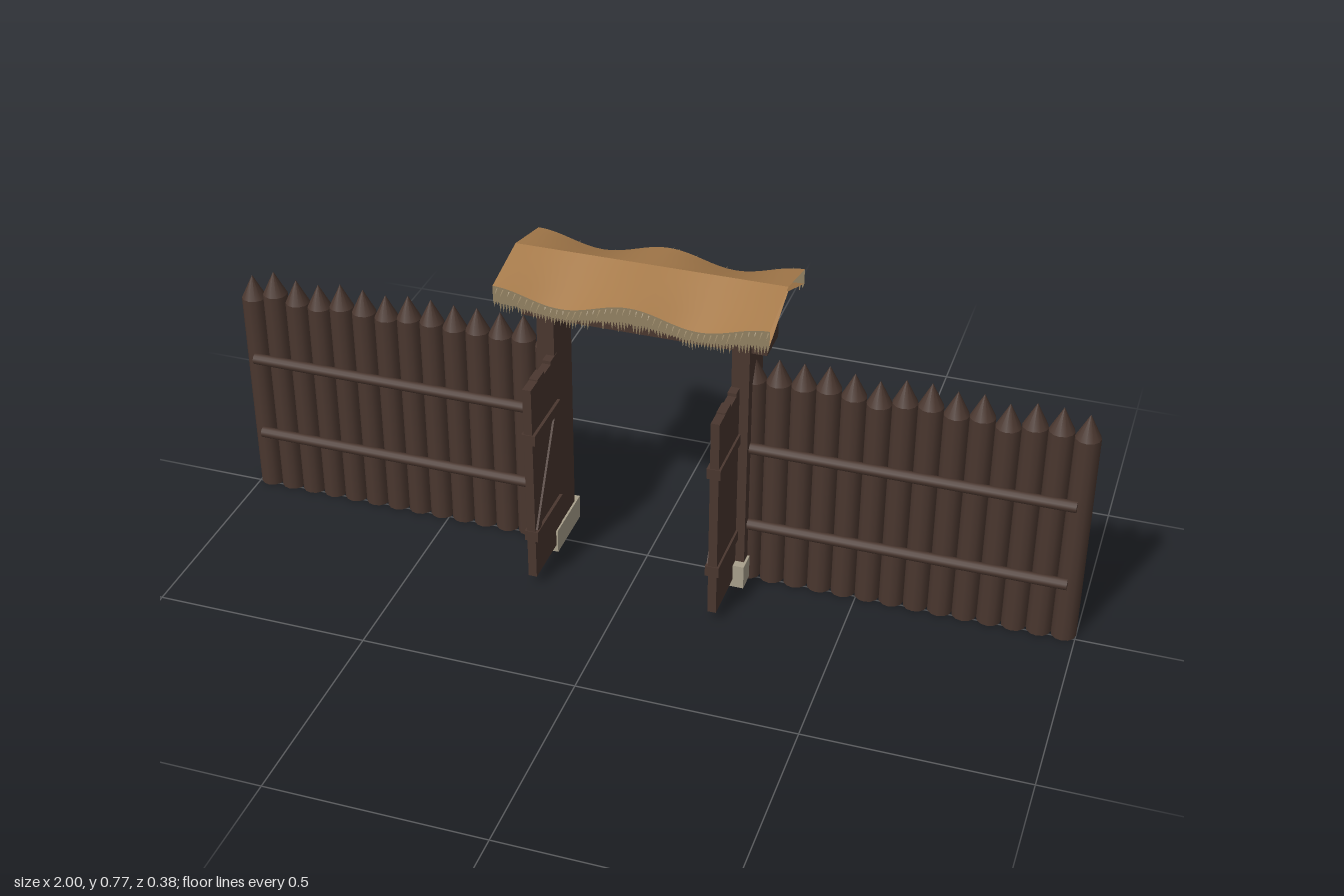
import * as THREE from 'three';

const makeMaterial = (name, color, side = THREE.FrontSide) => {
  const m = new THREE.MeshStandardMaterial({ color, side });
  m.name = name;
  return m;
};

export function createModel() {
  const wood = makeMaterial('dark wood', 0x4a372f);
  const stone = makeMaterial('stone', 0xa9a08c);
  const thatch = makeMaterial('thatch', 0xa87c4c, THREE.DoubleSide);
  const straw = makeMaterial('straw edge', 0x928162, THREE.DoubleSide);

  const model = new THREE.Group();
  model.name = 'palisadeGate';

  let seed = 7;
  const rand = () => (seed = (seed * 16807) % 2147483647) / 2147483647;

  const add = (parent, name, geometry, material, x, y, z) => {
    const mesh = new THREE.Mesh(geometry, material);
    mesh.name = name;
    mesh.position.set(x, y, z);
    parent.add(mesh);
    return mesh;
  };
  // Box given by its lower and upper corners
  const box = (parent, name, material, [x0, y0, z0], [x1, y1, z1]) =>
    add(parent, name, new THREE.BoxGeometry(Math.abs(x1 - x0), y1 - y0, z1 - z0), material,
      (x0 + x1) / 2, (y0 + y1) / 2, (z0 + z1) / 2);

  for (const s of [-1, 1]) {
    const side = s > 0 ? 'left' : 'right';

    // Fence of pointed logs
    const fence = new THREE.Group();
    fence.name = side + 'Fence';
    model.add(fence);
    for (let i = 0; i < 14; i++) {
      const x = s * (0.972 - i * 0.0562);
      const top = 0.515 + rand() * 0.02;
      const r = 0.0285;
      add(fence, 'log', new THREE.CylinderGeometry(r, r, top, 12), wood, x, top / 2, -0.015);
      add(fence, 'logPoint', new THREE.ConeGeometry(r, 0.057, 12), wood, x, top + 0.0285, -0.015);
    }
    // Round rails across the front
    for (const y of [0.363, 0.157]) {
      const rail = add(fence, 'rail', new THREE.CylinderGeometry(0.013, 0.013, 0.74, 12), wood,
        s * 0.6, y, 0.016);
      rail.rotation.z = Math.PI / 2;
    }

    // Gate post on its stone foot
    box(model, side + 'Post', wood, [s * 0.205, 0.02, -0.07], [s * 0.245, 0.67, 0.04]);
    box(model, side + 'PostFoot', stone, [s * 0.2, 0.006, -0.092], [s * 0.25, 0.065, 0.06]);

    // Open door leaf: boards, cross bands and a diagonal brace
    const door = new THREE.Group();
    door.name = side + 'Door';
    model.add(door);
    [0.53, 0.522, 0.53, 0.527].forEach((top, i) => {
      const z = 0.024 + i * 0.0415;
      box(door, 'board', wood, [s * 0.204, 0.025, z], [s * 0.224, top, z + 0.0415]);
    });
    for (const y of [0.125, 0.385])
      box(door, 'band', wood, [s * 0.197, y, 0.03], [s * 0.229, y + 0.026, 0.192]);
    const brace = add(door, 'brace', new THREE.BoxGeometry(0.006, 0.27, 0.022), wood,
      s * 0.202, 0.268, 0.112);
    brace.rotation.x = -0.5;
  }

  // Lintel across both posts
  box(model, 'lintel', wood, [-0.283, 0.615, -0.06], [0.28, 0.669, 0.028]);

  // Thatched roof: two thin layers with wavy eaves, meeting at a straight ridge
  const roof = new THREE.Group();
  roof.name = 'roof';
  model.add(roof);
  const halfLength = 0.31, ridgeZ = -0.015, reach = 0.141;
  const wave = (x) => Math.cos((x / 0.31) * Math.PI * 2);
  const upperEave = (x) => 0.721 + 0.015 * wave(x);
  const lowerEave = (x) => 0.692 + 0.008 * wave(x);

  const slope = (ridgeY, eave, s) => {
    const g = new THREE.PlaneGeometry(2 * halfLength, 1, 32, 4);
    g.rotateX(-Math.PI / 2);
    const p = g.attributes.position;
    for (let i = 0; i < p.count; i++) {
      const x = p.getX(i);
      const t = s > 0 ? p.getZ(i) + 0.5 : 0.5 - p.getZ(i);
      p.setY(i, ridgeY + (eave(x) - ridgeY) * t);
      p.setZ(i, ridgeZ + s * reach * t);
    }
    g.computeVertexNormals();
    return g;
  };

  // Cut edge of the thatch, closed between layers and frayed with stalks
  const fringe = (s) => {
    const v = [];
    const z = ridgeZ + s * reach;
    const n = 90, step = (2 * halfLength) / n;
    for (let i = 0; i < n; i++) {
      const a = -halfLength + i * step, b = a + step, m = (a + b) / 2;
      const A = [a, upperEave(a), z], B = [b, upperEave(b), z];
      const C = [a, lowerEave(a), z], D = [b, lowerEave(b), z];
      const tip = [m, lowerEave(m) - 0.006 - 0.02 * rand(), z];
      const order = s > 0 ? [A, C, B, B, C, D, C, tip, D] : [A, B, C, B, D, C, C, D, tip];
      order.forEach((p) => v.push(...p));
      if (i % 2) {
        const out = [m, upperEave(m) - 0.012, z + s * (0.006 + 0.024 * rand())];
        const l = [m - 0.0015, upperEave(m) - 0.004, z], r = [m + 0.0015, upperEave(m) - 0.004, z];
        (s > 0 ? [l, out, r] : [r, out, l]).forEach((p) => v.push(...p));
      }
    }
    const g = new THREE.BufferGeometry();
    g.setAttribute('position', new THREE.Float32BufferAttribute(v, 3));
    g.computeVertexNormals();
    return g;
  };

  for (const s of [-1, 1]) {
    const end = s > 0 ? 'front' : 'back';
    add(roof, end + 'ThatchTop', slope(0.768, upperEave, s), thatch, 0, 0, 0);
    add(roof, end + 'ThatchUnderside', slope(0.757, lowerEave, s), thatch, 0, 0, 0);
    add(roof, end + 'StrawFringe', fringe(s), straw, 0, 0, 0);
  }

  return model;
}
